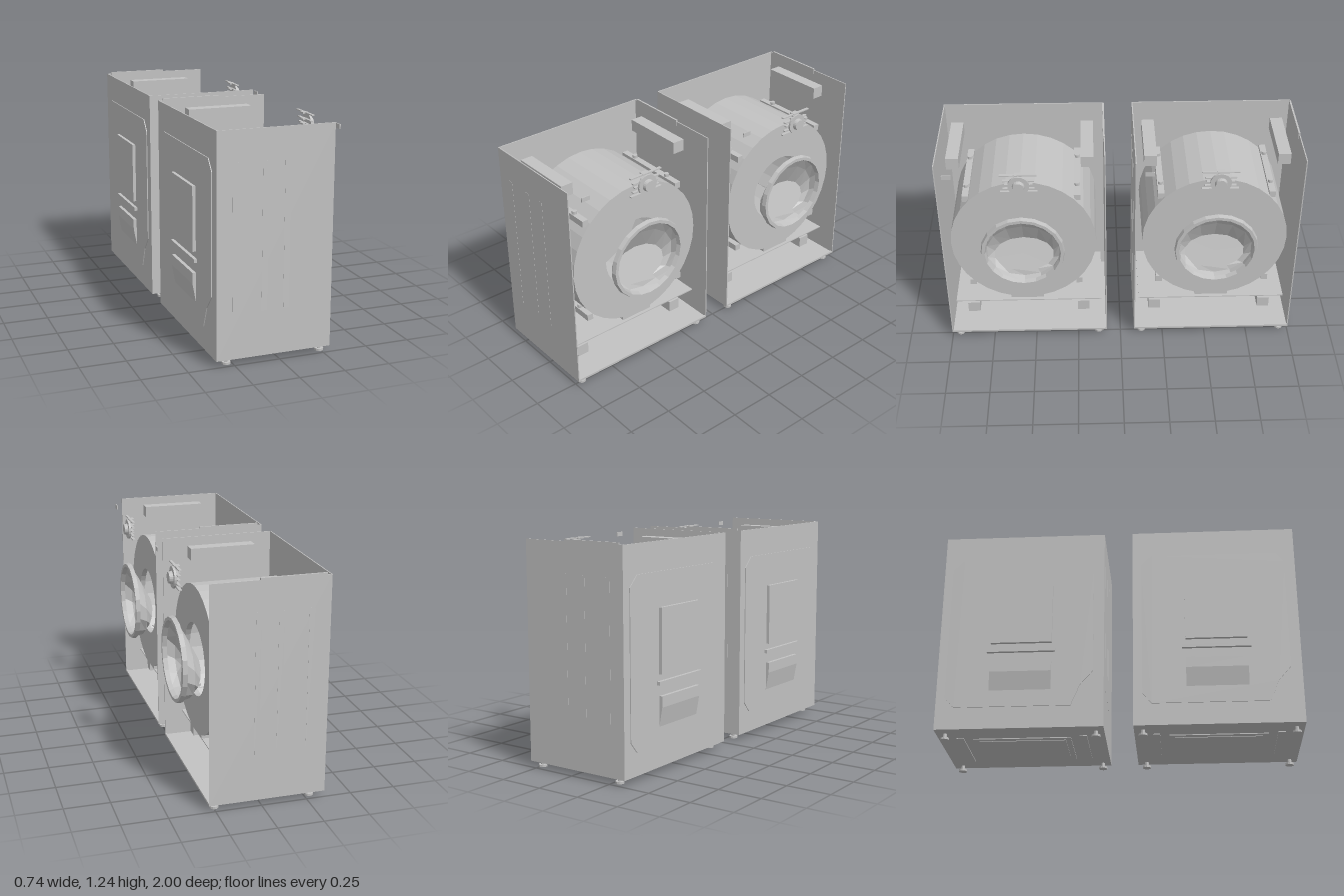
import * as THREE from 'three';

const grey = new THREE.MeshStandardMaterial({ color: 0xc2c2c2, side: THREE.DoubleSide, flatShading: true });
grey.name = 'grey';

function add(parent, name, geometry) {
  const mesh = new THREE.Mesh(geometry, grey);
  mesh.name = name;
  parent.add(mesh);
  return mesh;
}

// box given by its limits on each axis
function box(parent, name, [x0, x1], [y0, y1], [z0, z1]) {
  const m = add(parent, name, new THREE.BoxGeometry(x1 - x0, y1 - y0, z1 - z0));
  m.position.set((x0 + x1) / 2, (y0 + y1) / 2, (z0 + z1) / 2);
  return m;
}

// turned part around the x axis, profile as [x, radius]
function turned(parent, name, profile, y, z, sides) {
  const g = new THREE.LatheGeometry(profile.map(([x, r]) => new THREE.Vector2(r, x)), sides);
  g.rotateZ(-Math.PI / 2);
  const m = add(parent, name, g);
  m.position.set(0, y, z);
  return m;
}

// flat plate on the back wall, outline as [z, y]
function backPlate(parent, name, outline, x, depth) {
  const shape = new THREE.Shape(outline.map(([z, y]) => new THREE.Vector2(z, y)));
  const g = new THREE.ExtrudeGeometry(shape, { depth, bevelEnabled: false });
  g.rotateY(-Math.PI / 2);
  add(parent, name, g).position.x = x;
}

// door glass: round rim drawn in to a low pocket with a sloping top
function doorBowl() {
  const n = 14, rows = [
    { x: 0.335, top: 0.905, bottom: 0.455, w: 0.222, lean: 0 },
    { x: 0.285, top: 0.82, bottom: 0.468, w: 0.208, lean: 0 },
    { x: 0.222, top: 0.695, bottom: 0.5, w: 0.17, lean: 0.3 },
  ];
  const pos = [], idx = [];
  for (const r of rows) for (let i = 0; i < n; i++) {
    const a = (i / n) * Math.PI * 2;
    const y = (r.top + r.bottom) / 2 + Math.cos(a) * (r.top - r.bottom) / 2;
    pos.push(r.x + (r.top - y) * r.lean, y, Math.sin(a) * r.w);
  }
  pos.push(0.25, 0.6, 0);
  for (let i = 0; i < n; i++) {
    const j = (i + 1) % n;
    for (let k = 0; k < 2; k++) {
      const a = k * n + i, b = k * n + j;
      idx.push(a, b, a + n, b, b + n, a + n);
    }
    idx.push(2 * n + i, 2 * n + j, 3 * n);
  }
  const g = new THREE.BufferGeometry();
  g.setAttribute('position', new THREE.Float32BufferAttribute(pos, 3));
  g.setIndex(idx);
  g.computeVertexNormals();
  return g;
}

function cabinet(m) {
  const X = [-0.35, 0.285], Y = [0.035, 1.225];
  box(m, 'backWall', [-0.35, -0.344], Y, [-0.46, 0.46]);
  for (const s of [-1, 1]) {
    box(m, 'sideWall', X, Y, s < 0 ? [-0.46, -0.454] : [0.454, 0.46]);
    // pressed ribs
    for (const x of [-0.25, -0.09, 0.03]) {
      box(m, 'sideRib', [x - 0.015, x + 0.015], [0.28, 1.06], s < 0 ? [-0.461, -0.459] : [0.459, 0.461]);
    }
  }
  box(m, 'floor', X, [0.035, 0.042], [-0.46, 0.46]);
  box(m, 'frontSill', [0.275, 0.285], [0.035, 0.047], [-0.46, 0.46]);
  box(m, 'floorPan', [-0.2, 0.14], [0.03, 0.036], [-0.27, 0.27]);
  box(m, 'floorPanel', [-0.17, 0.11], [0.027, 0.031], [-0.24, 0.24]);
  for (const s of [-1, 1]) {
    box(m, 'floorRib', [-0.22, 0.16], [0.03, 0.036], [s * 0.34 - 0.02, s * 0.34 + 0.02]);
  }
  box(m, 'topStrip', [-0.325, 0.025], [1.2, 1.235], [-0.46, -0.45]);

  // levelling feet
  for (const x of [-0.28, 0.245]) for (const z of [-0.41, 0.415]) {
    add(m, 'footPad', new THREE.CylinderGeometry(0.024, 0.024, 0.012, 12)).position.set(x, 0.006, z);
    add(m, 'footStem', new THREE.CylinderGeometry(0.011, 0.011, 0.026, 8)).position.set(x, 0.024, z);
  }

  // raised service panel, hatches and strip on the back
  backPlate(m, 'servicePanel', [[-0.36, 0.16], [0.28, 0.16], [0.33, 0.28], [0.4, 0.36], [0.4, 1.01],
    [0.35, 1.07], [-0.35, 1.07], [-0.41, 1.01], [-0.41, 0.22]], -0.349, 0.006);
  backPlate(m, 'upperHatch', [[-0.17, 0.535], [0.17, 0.535], [0.17, 0.885], [-0.17, 0.885]], -0.354, 0.019);
  backPlate(m, 'hatchStrip', [[-0.19, 0.48], [0.19, 0.48], [0.19, 0.5], [-0.19, 0.5]], -0.354, 0.019);
  const wedge = new THREE.Shape([[-0.354, 0.25], [-0.354, 0.42], [-0.374, 0.42], [-0.374, 0.36]]
    .map(([x, y]) => new THREE.Vector2(x, y)));
  add(m, 'lowerHatch', new THREE.ExtrudeGeometry(wedge, { depth: 0.34, bevelEnabled: false })).position.z = -0.17;
}

function drumUnit(m) {
  const cz = 0.006;
  turned(m, 'drum', [[-0.255, 0], [-0.255, 0.41], [0.23, 0.41], [0.23, 0.2], [0.2, 0.2]], 0.67, cz, 32);
  turned(m, 'rearHub', [[-0.255, 0.2], [-0.31, 0.2], [-0.31, 0]], 0.67, cz, 16);
  turned(m, 'shaft', [[-0.31, 0.02], [-0.33, 0.02], [-0.33, 0]], 0.67, cz, 8);
  turned(m, 'doorRim', [[0.33, 0.205], [0.33, 0.235], [0.355, 0.23], [0.355, 0.212], [0.33, 0.205]], 0.68, cz, 20);
  add(m, 'doorGlass', doorBowl()).position.z = cz;
  box(m, 'drumBracket', [-0.1, 0.22], [0.245, 0.27], [-0.09, 0.1]);
  box(m, 'tray', [-0.25, 0.19], [0.194, 0.2], [-0.43, 0.43]);

  for (const s of [-1, 1]) {
    const span = (c, h) => [cz + s * c - h, cz + s * c + h];
    // wall weights and lower blocks
    box(m, 'upperWeight', [-0.215, 0.155], [1.12, 1.187], span(0.367, 0.035));
    box(m, 'lowerWeight', [-0.215, 0.155], [0.085, 0.15], span(0.328, 0.035));
    // mounting bars with bolts
    for (const y of [0.96, 0.365]) {
      box(m, 'mountBar', [-0.255, 0.215], [y - 0.018, y + 0.018], span(0.308, 0.018));
      for (const x of [-0.16, 0.12]) {
        add(m, 'bolt', new THREE.CylinderGeometry(0.014, 0.014, 0.05, 10)).position.set(x, y + 0.01, cz + s * 0.308);
      }
    }
  }
}

function controls(m) {
  const y = 1.135, z = 0.006;
  turned(m, 'dial', [[0.338, 0], [0.338, 0.058], [0.35, 0.058], [0.35, 0.034], [0.37, 0.03], [0.37, 0]], y, z, 20);
  // contact bars and pins behind the dial
  for (const [dy, h] of [[0.06, 0.1], [0.025, 0.085], [0, 0.075], [-0.025, 0.085], [-0.045, 0.1]]) {
    box(m, 'contactBar', [0.322, 0.338], [y + dy - 0.003, y + dy + 0.003], [z - h, z + h]);
    box(m, 'contactPin', [0.308, 0.34], [y + dy - 0.004, y + dy + 0.004], [z - 0.02, z + 0.02]);
  }
  box(m, 'indicator', [0.332, 0.338], [1.178, 1.202], [0.36, 0.41]);
}

export function createModel() {
  const group = new THREE.Group();
  group.name = 'washerPair';
  for (const z of [-0.54, 0.54]) {
    const m = new THREE.Group();
    m.name = z > 0 ? 'frontWasher' : 'rearWasher';
    cabinet(m);
    drumUnit(m);
    controls(m);
    m.position.z = z;
    group.add(m);
  }
  return group;
}
